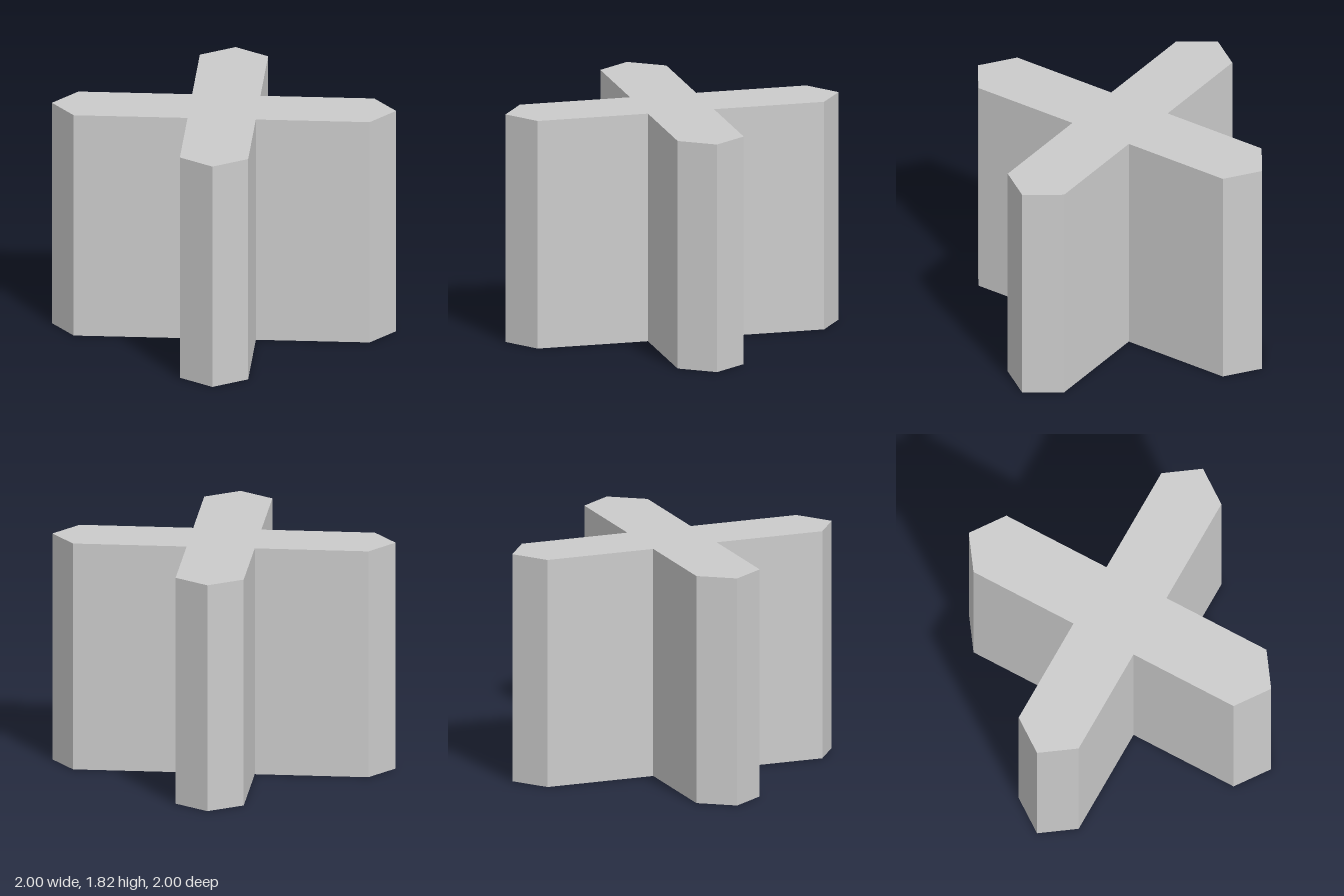
import * as THREE from 'three';

const HEIGHT = 1.82;

export function createModel() {
  const group = new THREE.Group();
  group.name = 'crossBlock';

  // One arm of the cross: inner corner, side, pointed tip, side
  const arm = [[0.375, 0], [1, 0.625], [0.945, 0.945], [0.625, 1]];
  const centre = new THREE.Vector2();
  const outline = [];
  for (let i = 0; i < 4; i++) {
    for (const [x, y] of arm) {
      outline.push(new THREE.Vector2(x, y).rotateAround(centre, i * Math.PI / 2));
    }
  }

  // Extrude the cross upwards from the ground
  const geometry = new THREE.ExtrudeGeometry(new THREE.Shape(outline), {
    depth: HEIGHT,
    bevelEnabled: false,
  });
  geometry.rotateX(-Math.PI / 2);

  const material = new THREE.MeshStandardMaterial({ color: 0xcccccc, flatShading: true });
  const cross = new THREE.Mesh(geometry, material);
  cross.name = 'crossPrism';
  group.add(cross);
  return group;
}
